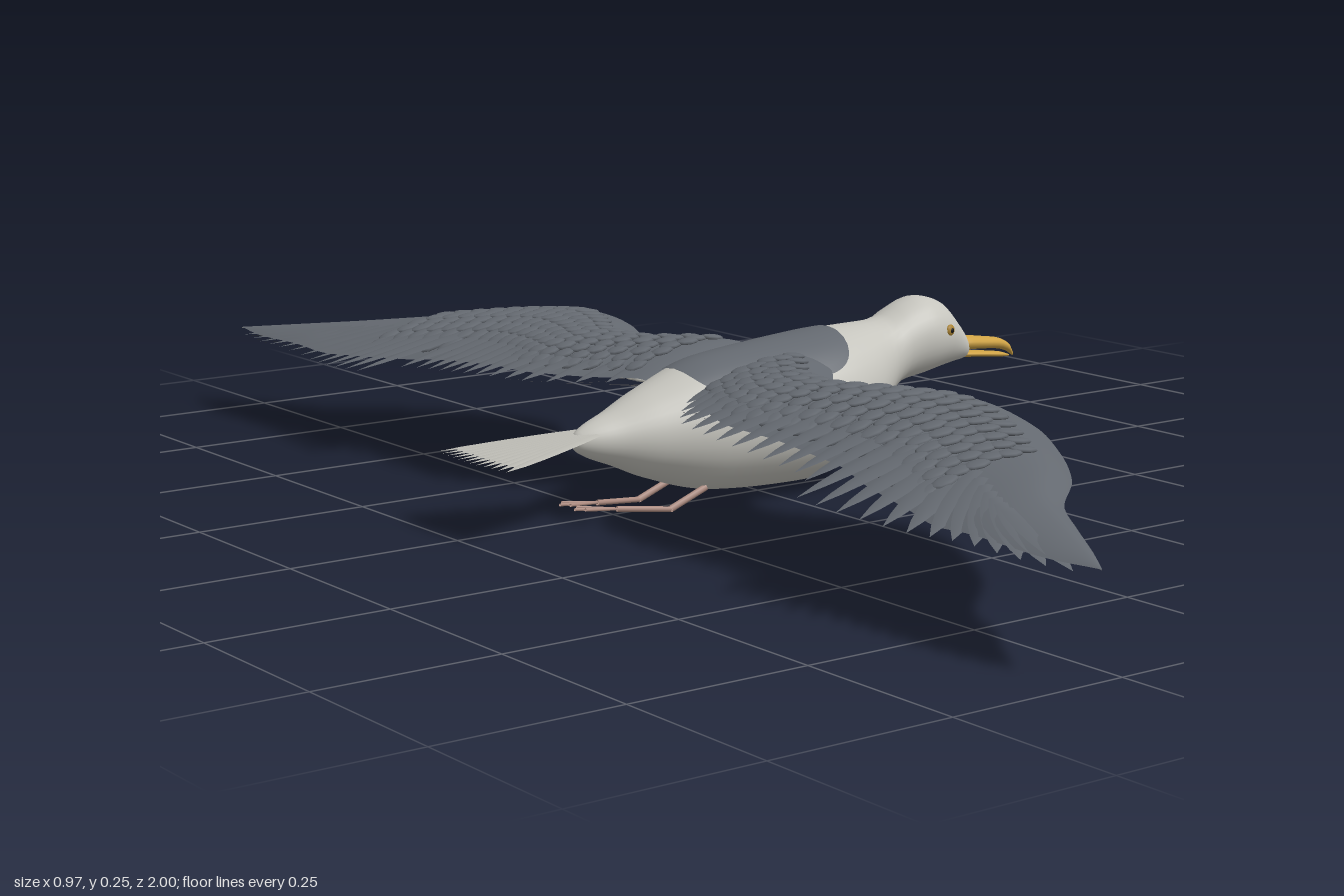
import * as THREE from 'three';
import { mergeGeometries, mergeVertices } from 'three/addons/utils/BufferGeometryUtils.js';

const V = (x, y, z) => new THREE.Vector3(x, y, z);
const mat = (name, color, side = THREE.FrontSide) => {
  const m = new THREE.MeshStandardMaterial({ color, side });
  m.name = name;
  return m;
};

// Monotone smooth interpolation through [position, value] pairs
function curve(pts) {
  const n = pts.length;
  const d = pts.slice(1).map((p, i) => (p[1] - pts[i][1]) / (p[0] - pts[i][0]));
  const m = pts.map((p, i) => {
    if (i === 0) return d[0];
    if (i === n - 1) return d[n - 2];
    return d[i - 1] * d[i] <= 0 ? 0 : (2 * d[i - 1] * d[i]) / (d[i - 1] + d[i]);
  });
  return (x) => {
    if (x <= pts[0][0]) return pts[0][1];
    if (x >= pts[n - 1][0]) return pts[n - 1][1];
    let i = 0;
    while (x > pts[i + 1][0]) i++;
    const h = pts[i + 1][0] - pts[i][0], s = (x - pts[i][0]) / h;
    return pts[i][1] * (1 + 2 * s) * (1 - s) ** 2 + m[i] * h * s * (1 - s) ** 2
      + pts[i + 1][1] * s * s * (3 - 2 * s) - m[i + 1] * h * s * s * (1 - s);
  };
}

// Grid surface from fn(u, v), facing du x dv
function surface(nu, nv, fn) {
  const pos = [], idx = [];
  for (let i = 0; i <= nu; i++) for (let j = 0; j <= nv; j++) pos.push(...fn(i / nu, j / nv).toArray());
  for (let i = 0; i < nu; i++) for (let j = 0; j < nv; j++) {
    const a = i * (nv + 1) + j, b = a + nv + 1;
    idx.push(a, b, b + 1, a, b + 1, a + 1);
  }
  let g = new THREE.BufferGeometry();
  g.setAttribute('position', new THREE.Float32BufferAttribute(pos, 3));
  g.setIndex(idx);
  g = mergeVertices(g, 1e-5);
  g.computeVertexNormals();
  return g;
}

// Oval sections along x: rows of [x, top, bottom, half width]
function sections(rows) {
  const [top, bottom, width] = [1, 2, 3].map((k) => curve(rows.map((r) => [r[0], r[k]])));
  return (x, a, grow = 0) => {
    const c = (top(x) + bottom(x)) / 2, h = (top(x) - bottom(x)) / 2;
    return V(x, c + (h + grow) * Math.cos(a), -(width(x) + grow) * Math.sin(a));
  };
}
function loft(rows, nu, nv) {
  const f = sections(rows), x0 = rows[0][0], x1 = rows[rows.length - 1][0];
  return surface(nu, nv, (u, v) => f(x0 + (x1 - x0) * (1 - Math.cos(u * Math.PI)) / 2, Math.PI + (v % 1) * 2 * Math.PI));
}

// Slightly ridged feather from base to tip; up = 1 faces the sky, -1 the ground
function feather(base, tip, half, up, sharp) {
  const dir = tip.clone().sub(base);
  const side = V(0, up, 0).cross(dir).normalize();
  return surface(6, 2, (u, v) => {
    const w = half * Math.pow(Math.max(0, Math.sin(Math.PI * (0.2 + 0.8 * u))), sharp);
    return base.clone().addScaledVector(dir, u).addScaledVector(side, (v * 2 - 1) * w)
      .add(V(0, up * (v === 0.5 ? 0.2 * w : 0), 0));
  });
}

// Small rounded covert feather lying between two points
function covert(a, b) {
  const dir = b.clone().sub(a), half = dir.length() / 2;
  const q = new THREE.Quaternion().setFromUnitVectors(V(1, 0, 0), dir.normalize());
  return new THREE.SphereGeometry(1, 8, 6).scale(half, 0.0042, 0.0145)
    .applyQuaternion(q.premultiply(new THREE.Quaternion())).translate(...a.clone().add(b).multiplyScalar(0.5).toArray());
}

// Wing plan and height, measured along z
const lead = curve([[0.03, 0.07], [0.1, 0.05], [0.2, -0.012], [0.25, -0.015], [0.35, 0.04], [0.44, 0.077], [0.5, 0.068],
  [0.6, 0.02], [0.7, -0.05], [0.8, -0.155], [0.87, -0.2], [0.95, -0.25], [1, -0.285]]);
const trail = curve([[0.03, -0.13], [0.08, -0.16], [0.2, -0.225], [0.26, -0.238], [0.35, -0.225], [0.45, -0.225],
  [0.55, -0.25], [0.65, -0.27], [0.75, -0.295], [0.9, -0.298], [1, -0.286]]);
const crown = curve([[0.03, 0.193], [0.08, 0.208], [0.2, 0.203], [0.4, 0.204], [0.5, 0.197], [0.7, 0.17], [0.8, 0.157], [1, 0.13]]);
const thick = curve([[0.03, 0.07], [0.1, 0.07], [0.2, 0.05], [0.4, 0.036], [0.6, 0.02], [0.8, 0.008], [1, 0.002]]);
const tipX = curve([[0.09, -0.19], [0.15, -0.245], [0.2, -0.275], [0.3, -0.288], [0.47, -0.288], [0.53, -0.345],
  [0.58, -0.345], [0.65, -0.335], [0.75, -0.32], [0.9, -0.31], [0.98, -0.296]]);
const lean = curve([[0.1, 0], [0.4, 0.01], [0.55, 0.025], [0.7, 0.07], [0.85, 0.12], [0.98, 0.18]]);
const darkFrom = curve([[0.5, 0.62], [0.62, 0.5], [0.75, 0.22], [0.98, 0.1]]);

function wingTop(t, z) {
  const c = lead(z) - trail(z);
  const drop = t < 0.3 ? 0.1 * (1 - t / 0.3) ** 2 : 0.18 * ((t - 0.3) / 0.7) ** 2;
  return V(lead(z) - c * t, crown(z) - c * drop, z);
}
const wingBottom = (t, z) => wingTop(t, z).sub(V(0, thick(z) * Math.sin(Math.PI * Math.sqrt(t)), 0));

export function createModel() {
  const root = new THREE.Group();
  root.name = 'seabird';
  const pale = mat('pale plumage', 0xc6c5be);
  const palePlate = mat('tail plumage', 0xbdbcb5, THREE.DoubleSide);
  const slate = mat('slate plumage', 0x646970);
  const charcoal = mat('charcoal flight feathers', 0x434548);
  const grey = mat('under feathers', 0x85868a);
  const yellow = mat('beak yellow', 0xcfa345);
  const pink = mat('leg pink', 0xab8a7f, THREE.DoubleSide);
  const amber = mat('eye amber', 0xa8812f);
  const black = mat('pupil black', 0x151515);
  const add = (parent, name, geo, m) => {
    const mesh = new THREE.Mesh(geo, m);
    mesh.name = name;
    parent.add(mesh);
    return mesh;
  };

  // Body and head in one smooth form
  const bodyRows = [[-0.316, 0.112, 0.106, 0.002], [-0.31, 0.122, 0.096, 0.012], [-0.25, 0.148, 0.068, 0.042],
    [-0.2, 0.17, 0.046, 0.063], [-0.1, 0.203, 0.017, 0.093], [0, 0.214, 0.01, 0.105], [0.06, 0.219, 0.009, 0.107],
    [0.1, 0.222, 0.015, 0.103], [0.16, 0.224, 0.046, 0.083], [0.2, 0.225, 0.09, 0.063], [0.225, 0.229, 0.118, 0.054],
    [0.25, 0.242, 0.131, 0.053], [0.288, 0.253, 0.137, 0.056], [0.32, 0.246, 0.143, 0.051], [0.353, 0.216, 0.148, 0.037],
    [0.378, 0.185, 0.151, 0.021], [0.386, 0.17, 0.162, 0.003]];
  add(root, 'body', loft(bodyRows, 64, 32), pale);

  // Slate saddle lying on the back
  const bodyAt = sections(bodyRows);
  add(root, 'saddle', surface(28, 16, (u, v) => {
    const s = -Math.cos(u * Math.PI);
    return bodyAt(-0.011 + 0.135 * s, (v * 2 - 1) * 0.98 * Math.pow(1 - s ** 6, 0.4), 0.002);
  }), slate);

  // Beak halves with a hooked tip
  add(root, 'upperBeak', loft([[0.365, 0.18, 0.166, 0.012], [0.38, 0.184, 0.163, 0.018], [0.42, 0.179, 0.16, 0.015],
    [0.45, 0.174, 0.157, 0.011], [0.47, 0.165, 0.151, 0.008], [0.482, 0.15, 0.143, 0.002]], 16, 14), yellow);
  add(root, 'lowerBeak', loft([[0.365, 0.163, 0.154, 0.012], [0.38, 0.162, 0.152, 0.016], [0.42, 0.157, 0.148, 0.013],
    [0.455, 0.152, 0.144, 0.009], [0.474, 0.146, 0.143, 0.002]], 16, 14), yellow);

  // Eyes
  for (const s of [1, -1]) {
    const eye = new THREE.Group();
    eye.name = 'eye';
    eye.position.set(0.315, 0.205, s * 0.0495);
    eye.rotation.y = s > 0 ? 0.25 : Math.PI - 0.25;
    add(eye, 'iris', new THREE.SphereGeometry(0.0095, 16, 10).scale(1, 0.9, 0.5), amber);
    add(eye, 'pupil', new THREE.SphereGeometry(0.0045, 12, 8).scale(1, 1, 0.6).translate(0, 0, 0.003), black);
    root.add(eye);
  }

  // Tail fan
  const tail = [surface(4, 8, (u, v) => V(-0.27 - 0.185 * u, 0.119 - 0.013 * u, (v * 2 - 1) * (0.018 + 0.056 * u)))];
  for (let i = 0; i < 12; i++) {
    const s = i / 5.5 - 1;
    tail.push(feather(V(-0.29, 0.12, s * 0.02), V(-0.484 + 0.008 * s * s, 0.104, s * 0.084), 0.011, 1, 0.5));
  }
  add(root, 'tailFan', mergeGeometries(tail), palePlate);

  // Legs with folded webbed feet, trailing beneath the tail
  for (const s of [1, -1]) {
    const leg = new THREE.Group();
    leg.name = 'leg';
    const rod = (name, a, b, r) => add(leg, name, new THREE.TubeGeometry(new THREE.LineCurve3(a, b), 1, r, 8), pink);
    const hip = V(-0.12, 0.028, s * 0.038), ankle = V(-0.18, 0.005, s * 0.038), heel = V(-0.26, 0.014, s * 0.024);
    rod('shin', hip, ankle, 0.005);
    rod('tarsus', ankle, heel, 0.004);
    for (const k of [-1, 0, 1]) rod('toe', heel, V(-0.325 + 0.01 * Math.abs(k), 0.021, s * 0.018 + k * 0.011), 0.0022);
    add(leg, 'web', surface(2, 4, (u, v) => V(-0.26 - 0.055 * u, 0.014 + 0.006 * u, s * (0.024 - 0.006 * u) + (v * 2 - 1) * 0.011 * u)), pink);
    root.add(leg);
  }

  // Wing skins, flight feathers and rows of coverts
  const ease = (v) => 0.03 + 0.97 * v;
  const flightTop = [], flightUnder = [], primaries = [], coverts = [], underCoverts = [];
  const lift = V(0, 0.002, 0);
  for (let i = 0; i < 13; i++) {
    const z = 0.095 + 0.0325 * i, zb = z - lean(z);
    const tip = V(tipX(z), wingTop(1, z).y - 0.004, z);
    flightTop.push(feather(wingTop(0.6, zb), tip, 0.016, 1, 0.7));
    flightUnder.push(feather(wingBottom(0.5, zb).sub(lift), tip.clone().sub(lift), 0.017, -1, 0.7));
  }
  for (let i = 0; i < 13; i++) {
    const z = 0.53 + 0.0365 * i, zb = z - lean(z);
    const tip = V(tipX(z), wingTop(1, z).y - 0.006, z);
    flightTop.push(feather(wingTop(0.6, zb), tip, 0.017, 1, 0.8));
    primaries.push(feather(wingBottom(darkFrom(z), z - 0.8 * lean(z)).sub(lift), tip.clone().sub(lift), 0.024, -1, 0.8));
  }
  for (let r = 0; r < 20; r++) for (let c = 0; c < 7; c++) {
    const z = 0.095 + r * 0.029 + (c % 2) * 0.006, t = 0.2 + c * 0.1;
    coverts.push(covert(wingTop(t, z).add(lift), wingTop(t + 0.16, z).addScaledVector(lift, 2)));
    if (c < 6) {
      const tu = 0.14 + c * 0.085;
      underCoverts.push(covert(wingBottom(tu, z).sub(lift), wingBottom(tu + 0.14, z).addScaledVector(lift, -2)));
    }
  }
  const parts = [
    ['wingUpperSkin', surface(20, 72, (u, v) => wingTop(u * u * (2 - u), ease(v))), slate],
    ['wingUnderSkin', surface(72, 20, (u, v) => wingBottom(v * v * (2 - v), ease(u))), pale],
    ['upperFlightFeathers', mergeGeometries(flightTop), slate],
    ['lowerFlightFeathers', mergeGeometries(flightUnder), grey],
    ['primaryFeathers', mergeGeometries(primaries), charcoal],
    ['upperCoverts', mergeGeometries(coverts), slate],
    ['underCoverts', mergeGeometries(underCoverts), pale],
  ];
  for (const s of [1, -1]) {
    const wing = new THREE.Group();
    wing.name = s > 0 ? 'frontWing' : 'backWing';
    wing.scale.z = s;
    for (const [name, geo, m] of parts) add(wing, name, geo, m);
    root.add(wing);
  }
  return root;
}
